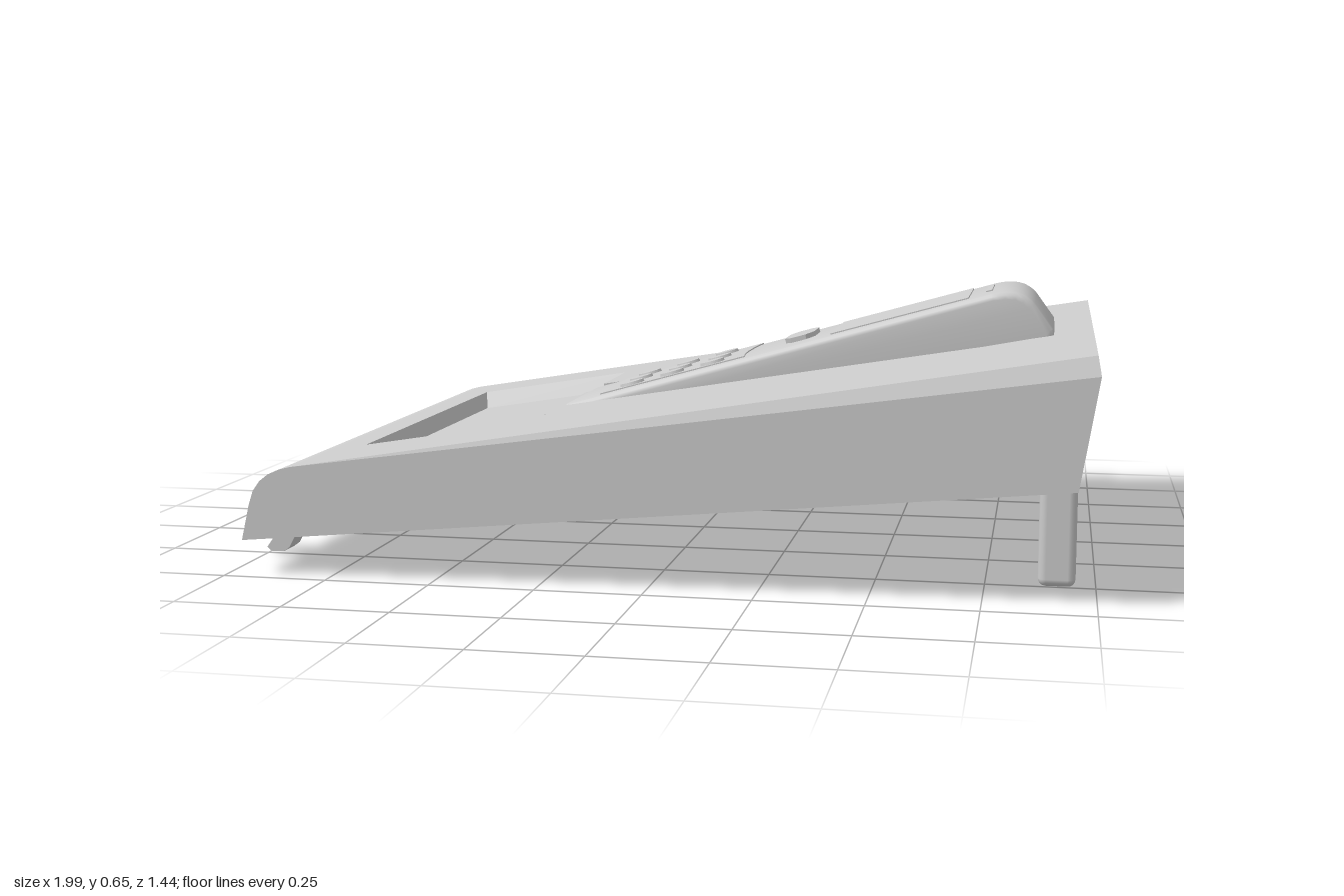
import * as THREE from 'three';
import { toCreasedNormals } from 'three/addons/utils/BufferGeometryUtils.js';
import { RoundedBoxGeometry } from 'three/addons/geometries/RoundedBoxGeometry.js';

const DEPTH = 0.045;                                  // depth of the tray
const HALF = 0.722;                                   // half width of the housing
const deck = (x) => 0.258 + (x + 0.84) * 0.1633;      // height of the sloping top
const PHONE_Z = -0.0165;

const grey = new THREE.MeshStandardMaterial({ color: 0xcccccc, side: THREE.DoubleSide });

function add(parent, name, geometry, x = 0, y = 0, z = 0) {
  const mesh = new THREE.Mesh(geometry, grey);
  mesh.name = name;
  mesh.position.set(x, y, z);
  parent.add(mesh);
  return mesh;
}

const shapeOf = (pts) => new THREE.Shape(pts.map(([x, y]) => new THREE.Vector2(x, y)));

// Side profile (x, y) extruded from z0 to z1
function sideProfile(pts, z0, z1) {
  return new THREE.ExtrudeGeometry(shapeOf(pts), { depth: z1 - z0, bevelEnabled: false }).translate(0, 0, z0);
}

// Flat plate from a plan shape whose coordinates are (x, -z)
function plate(shape, height) {
  return new THREE.ExtrudeGeometry(shape, { depth: height, bevelEnabled: false, curveSegments: 10 })
    .rotateX(-Math.PI / 2);
}

// Plan outline given as (x, z)
const plan = (pts) => shapeOf(pts.map(([x, z]) => [x, -z]));

// Move every vertex by a rule
function reshape(geometry, rule) {
  const p = geometry.attributes.position;
  const v = new THREE.Vector3();
  for (let i = 0; i < p.count; i++) {
    rule(v.fromBufferAttribute(p, i));
    p.setXYZ(i, v.x, v.y, v.z);
  }
  geometry.computeVertexNormals();
  return geometry;
}

function buildHousing(root) {
  // Wedge with a rounded nose, lowered where the deck lies on it
  const wedge = sideProfile([
    [-0.965, 0.08], [0.952, 0.262], [0.993, deck(0.993) - DEPTH], [-0.84, deck(-0.84) - DEPTH],
    [-0.84, deck(-0.84)], [-0.868, 0.251], [-0.895, 0.239], [-0.917, 0.222], [-0.934, 0.198], [-0.945, 0.165],
  ], -HALF, HALF);
  add(root, 'housing', toCreasedNormals(wedge, 0.5));

  // Deck with one opening for the tray and the handset cradle
  const top = plan([[-0.84, -HALF], [0.993, -HALF], [0.993, HALF], [-0.84, HALF]]);
  top.holes.push(plan([
    [-0.75, -0.5], [-0.33, -0.5], [-0.33, -0.243], [0.84, -0.243],
    [0.84, 0.193], [-0.33, 0.193], [-0.33, 0.472], [-0.75, 0.472],
  ]));
  const deckGeo = reshape(plate(top, DEPTH), (v) => {
    const upper = v.y > DEPTH / 2;
    if (upper && v.x > 0.9) { v.x -= 0.008; v.z *= 0.978; }           // softened rear corners
    if (!upper && v.x < -0.3 && Math.abs(v.z) < 0.6) {                // sloping tray walls
      if (Math.abs(v.z) > 0.3) v.z -= Math.sign(v.z) * 0.028;
      if (v.x < -0.7) v.x += 0.01;
    }
    v.y += deck(v.x) - DEPTH;
  });
  add(root, 'deck', deckGeo);

  // Cradle floor, deepest at the tray
  add(root, 'cradleFloor', sideProfile([
    [-0.33, deck(-0.33) - 0.05], [0.84, deck(0.84) - 0.05], [0.84, deck(0.84)], [-0.33, deck(-0.33) - 0.032],
  ], -0.243, 0.193));

  // Lip of the cradle standing in the tray
  const lip = plan([[-0.29, -0.243], [-0.33, -0.27], [-0.38, -0.232], [-0.38, 0.185], [-0.33, 0.222], [-0.29, 0.193]]);
  add(root, 'cradleLip', reshape(plate(lip, 0.03), (v) => { v.y += deck(v.x) - 0.046; }));
}

function buildFeet(root) {
  for (const z of [0.475, -0.503]) {
    add(root, 'rearLeg', new RoundedBoxGeometry(0.085, 0.29, 0.064, 2, 0.018), 0.912, 0.145, z);
    add(root, 'rearLegCollar', sideProfile([[0.855, 0.262], [0.872, 0.235], [0.953, 0.24], [0.953, 0.268]], -0.032, 0.032), 0, 0, z);
    add(root, 'frontFoot', sideProfile([
      [-1, 0.016], [-0.99, 0.006], [-0.957, 0.006], [-0.942, 0.017], [-0.9, 0.095], [-0.955, 0.09], [-0.965, 0.065],
    ], -0.032, 0.032), 0, 0, z);
  }
}

function buildHandset(root) {
  const handset = new THREE.Group();
  handset.name = 'handset';
  root.add(handset);

  // Sloping shell with a rounded head
  const side = new THREE.Shape();
  side.moveTo(-0.34, 0.27);
  side.lineTo(0.86, 0.5);
  side.lineTo(0.893, 0.535);
  side.lineTo(0.89, 0.555);
  side.lineTo(0.845, 0.617);
  side.quadraticCurveTo(0.81, 0.659, 0.74, 0.64);
  side.lineTo(-0.33, 0.34);
  side.lineTo(-0.34, 0.33);
  const b = 0.018;
  const shell = new THREE.ExtrudeGeometry(side, {
    depth: 0.356 - 2 * b, bevelSize: b, bevelOffset: -b, bevelThickness: b, bevelSegments: 3, curveSegments: 8,
  }).translate(0, 0, PHONE_Z - 0.178 + b);
  add(handset, 'handsetShell', toCreasedNormals(shell, 0.6));

  // Face details lie in a group tilted with the handset
  const face = new THREE.Group();
  const tilt = Math.atan2(0.3, 1.07);
  face.name = 'handsetFace';
  face.position.set(-0.33, 0.34, 0);
  face.rotation.z = tilt;
  handset.add(face);
  const along = (x) => (x + 0.33) / Math.cos(tilt);

  // Keypad panel with a curved inner end
  const x0 = along(-0.245), x1 = along(0.13);
  const pad = new THREE.Shape();
  pad.moveTo(x0, 0.175);
  pad.lineTo(x0, -0.135);
  pad.lineTo(x1, -0.135);
  pad.quadraticCurveTo(x1 - 0.03, 0.02, x1, 0.175);
  add(face, 'keypadPanel', plate(pad, 0.003));

  for (const x of [-0.17, -0.065, 0.04])
    for (const z of [-0.124, -0.015, 0.09])
      add(face, 'key', new THREE.CylinderGeometry(0.03, 0.033, 0.01, 20), along(x), 0.005, z);

  // Long eight-sided control button
  const control = plan([[-0.02, -0.085], [0.02, -0.085], [0.039, -0.05], [0.039, 0.05],
    [0.02, 0.085], [-0.02, 0.085], [-0.039, 0.05], [-0.039, -0.05]]);
  add(face, 'controlButton', plate(control, 0.012), along(0.257), 0, -0.02);

  add(face, 'screen', new THREE.BoxGeometry(0.352, 0.006, 0.31), along(0.515), 0, -0.02);
  add(face, 'earpieceSlot', new THREE.BoxGeometry(0.016, 0.006, 0.176), along(0.732), 0, -0.018);
}

export function createModel() {
  const root = new THREE.Group();
  root.name = 'deskPhone';
  buildHousing(root);
  buildFeet(root);
  buildHandset(root);
  return root;
}
